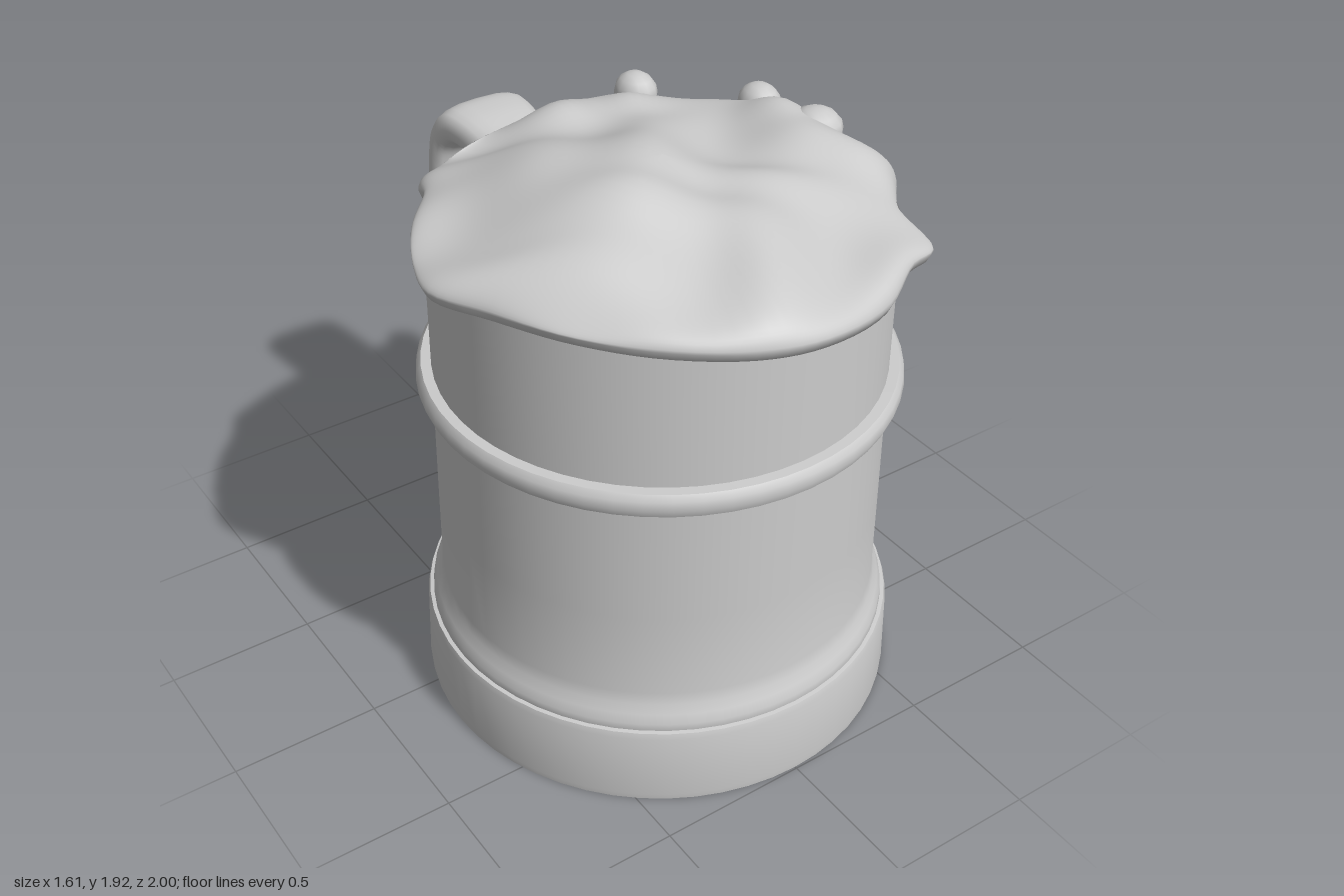
import * as THREE from 'three';
import { toCreasedNormals } from 'three/addons/utils/BufferGeometryUtils.js';

const CZ = 0.21; // the barrel axis sits forward so that the handle fits behind it
const material = new THREE.MeshStandardMaterial({ color: 0xcccccc });
const doubleSided = new THREE.MeshStandardMaterial({ color: 0xcccccc, side: THREE.DoubleSide });

function addMesh(parent, name, geometry, mat = material) {
  const mesh = new THREE.Mesh(geometry, mat);
  mesh.name = name;
  parent.add(mesh);
  return mesh;
}

// Skin a list of closed cross-sections
function loft(rows) {
  const n = rows[0].length, index = [];
  for (let i = 0; i < rows.length - 1; i++) {
    for (let j = 0; j < n; j++) {
      const k = (j + 1) % n;
      const a = i * n + j, b = a + n, c = (i + 1) * n + k, d = i * n + k;
      index.push(a, b, c, a, c, d);
    }
  }
  const g = new THREE.BufferGeometry().setFromPoints(rows.flat());
  g.setIndex(index);
  g.computeVertexNormals();
  return g;
}

function lathe(profile) {
  const points = profile.map(([r, y]) => new THREE.Vector2(r, y));
  return toCreasedNormals(new THREE.LatheGeometry(points, 56), 0.6);
}

// Handle: paired outer and inner outline points [z, y], swept with a rounded section
function handleGeometry() {
  const outer = [[-0.42, 1.59], [-0.6, 1.61], [-0.75, 1.63], [-0.86, 1.62], [-0.94, 1.55], [-0.98, 1.42],
    [-1.0, 1.1], [-0.985, 0.68], [-0.95, 0.53], [-0.86, 0.445], [-0.72, 0.41], [-0.6, 0.395], [-0.42, 0.38]];
  const inner = [[-0.42, 1.35], [-0.6, 1.42], [-0.74, 1.49], [-0.8, 1.49], [-0.85, 1.45], [-0.87, 1.37],
    [-0.88, 1.1], [-0.865, 0.72], [-0.845, 0.645], [-0.79, 0.6], [-0.7, 0.59], [-0.6, 0.615], [-0.42, 0.64]];
  const curve = (list) => new THREE.CatmullRomCurve3(list.map(([z, y]) => new THREE.Vector3(0, y, z)));
  const outerCurve = curve(outer), innerCurve = curve(inner);
  const round = (v) => Math.sign(v) * Math.abs(v) ** 0.7;
  const rows = [];
  for (let i = 0; i <= 60; i++) {
    const o = outerCurve.getPoint(i / 60), q = innerCurve.getPoint(i / 60);
    const mid = o.clone().add(q).multiplyScalar(0.5);
    const half = o.clone().sub(q).multiplyScalar(0.5);
    const width = 0.135 + 0.028 * THREE.MathUtils.smoothstep(-mid.z, 0.55, 0.9);
    const row = [];
    for (let j = 0; j < 20; j++) {
      const a = (j / 20) * Math.PI * 2;
      const p = mid.clone().addScaledVector(half, round(Math.cos(a)));
      p.x = -0.005 - round(Math.sin(a)) * width;
      row.push(p);
    }
    rows.push(row);
  }
  return loft(rows);
}

// Height of the foam surface: a low dome with broad mounds and fine ripples
function foamHeight(x, z) {
  const mounds = [[-0.27, 0.3, 0.13, 0.25], [0.56, 0.2, 0.085, 0.13], [0.08, -0.42, 0.05, 0.09],
    [0.27, -0.36, 0.05, 0.07], [0.6, 0.0, 0.05, 0.08], [-0.1, 0.0, 0.06, 0.16], [0.62, 0.4, 0.03, 0.08],
    [0.15, 0.45, 0.03, 0.15], [-0.1, 0.8, 0.03, 0.2]];
  const d2 = (x * x + (z - CZ) ** 2) / 0.6;
  let y = 1.695 + 0.075 * (1 - d2);
  for (const [mx, mz, h, w] of mounds) y += h * Math.exp(-((x - mx) ** 2 + (z - mz) ** 2) / (2 * w * w));
  y += 0.014 * Math.sin(11 * z + 4 * x + 2 * Math.sin(5 * x));
  y += 0.01 * Math.sin(14 * x - 6 * z + 1.5 * Math.sin(8 * z));
  return y;
}

// Foam: irregular rim points [degrees, radius, lower edge], with drips over the side
function foamGeometry() {
  const rim = [[0, 0.79, 1.62], [20, 0.78, 1.6], [34, 0.77, 1.63], [45, 0.81, 1.61], [57, 0.72, 1.62],
    [70, 0.75, 1.59], [80, 0.81, 1.545], [90, 0.75, 1.6], [100, 0.775, 1.6], [115, 0.73, 1.63],
    [127, 0.76, 1.61], [140, 0.73, 1.65], [153, 0.8, 1.64], [166, 0.73, 1.66], [182, 0.72, 1.66],
    [205, 0.725, 1.66], [217, 0.79, 1.59], [228, 0.725, 1.65], [245, 0.745, 1.66], [260, 0.78, 1.65],
    [271, 0.805, 1.65], [285, 0.745, 1.65], [305, 0.73, 1.65], [325, 0.74, 1.64], [345, 0.775, 1.63]];
  const edge = new THREE.CatmullRomCurve3(rim.map(([deg, r, y]) => {
    const a = THREE.MathUtils.degToRad(deg);
    return new THREE.Vector3(r * Math.sin(a), y, r * Math.cos(a));
  }), true).getPoints(120).slice(0, 120);
  const rows = [];
  const point = (e, s, y) => new THREE.Vector3(e.x * s, y, CZ + e.z * s);
  for (let i = 0; i <= 28; i++) {
    const s = Math.sin((i / 28) * Math.PI / 2);
    const roll = Math.sqrt(Math.max(0, 1 - s ** 24));
    rows.push(edge.map((e) => {
      const top = foamHeight(e.x * s, CZ + e.z * s);
      const middle = e.y + 0.035;
      return point(e, s, middle + (top - middle) * roll);
    }));
  }
  // Rolled lip and underside
  rows.push(edge.map((e) => point(e, 0.985, e.y + 0.008)));
  rows.push(edge.map((e) => point(e, 0.95, e.y)));
  rows.push(edge.map((e) => point(e, 0.86, e.y + 0.02)));
  return loft(rows);
}

// Side plate: a wide top flange above a slightly tapered lower tab
function plateGeometry() {
  const shape = new THREE.Shape([[-0.2, -0.11], [0.2, -0.105], [0.21, 0.035], [0.25, 0.05], [0.25, 0.105],
    [-0.25, 0.11], [-0.25, 0.06], [-0.215, 0.04]].map(([x, y]) => new THREE.Vector2(x, y)));
  return new THREE.ExtrudeGeometry(shape, { depth: 0.055, bevelEnabled: false });
}

export function createModel() {
  const model = new THREE.Group();
  model.name = 'foamingMug';

  const barrel = new THREE.Group();
  barrel.name = 'barrel';
  barrel.position.z = CZ;
  model.add(barrel);

  addMesh(barrel, 'base', lathe([[0, 0], [0.783, 0], [0.785, 0.02], [0.778, 0.255], [0.772, 0.275], [0.74, 0.28]]));
  addMesh(barrel, 'wall', lathe([[0.75, 0.25], [0.76, 0.27], [0.757, 0.3], [0.745, 0.33], [0.73, 0.36],
    [0.722, 0.4], [0.72, 0.7], [0.716, 1.1], [0.714, 1.68]]), doubleSided);
  addMesh(barrel, 'hoop', lathe([[0.7, 1.115], [0.742, 1.115], [0.757, 1.125], [0.766, 1.15], [0.762, 1.18],
    [0.748, 1.198], [0.7, 1.2]]));

  addMesh(model, 'handle', handleGeometry());
  addMesh(model, 'foam', foamGeometry());

  const plate = addMesh(model, 'sidePlate', plateGeometry());
  plate.position.set(0.603, 1.16, -0.23);
  plate.rotation.y = Math.atan2(0.75, -0.66);

  // Loose foam drops [x, y, z, rx, ry, rz]
  const drops = [[0.33, 1.5, -0.48, 0.05, 0.08, 0.055], [0.7, 1.61, -0.16, 0.07, 0.05, 0.04],
    [0.66, 1.7, -0.17, 0.07, 0.07, 0.08], [0.36, 1.71, -0.45, 0.07, 0.07, 0.08],
    [0.65, 1.74, 0.13, 0.09, 0.07, 0.09]];
  for (const [x, y, z, rx, ry, rz] of drops) {
    const drop = addMesh(model, 'foamDrop', new THREE.SphereGeometry(1, 12, 8));
    drop.position.set(x, y, z);
    drop.scale.set(rx, ry, rz);
  }
  return model;
}
